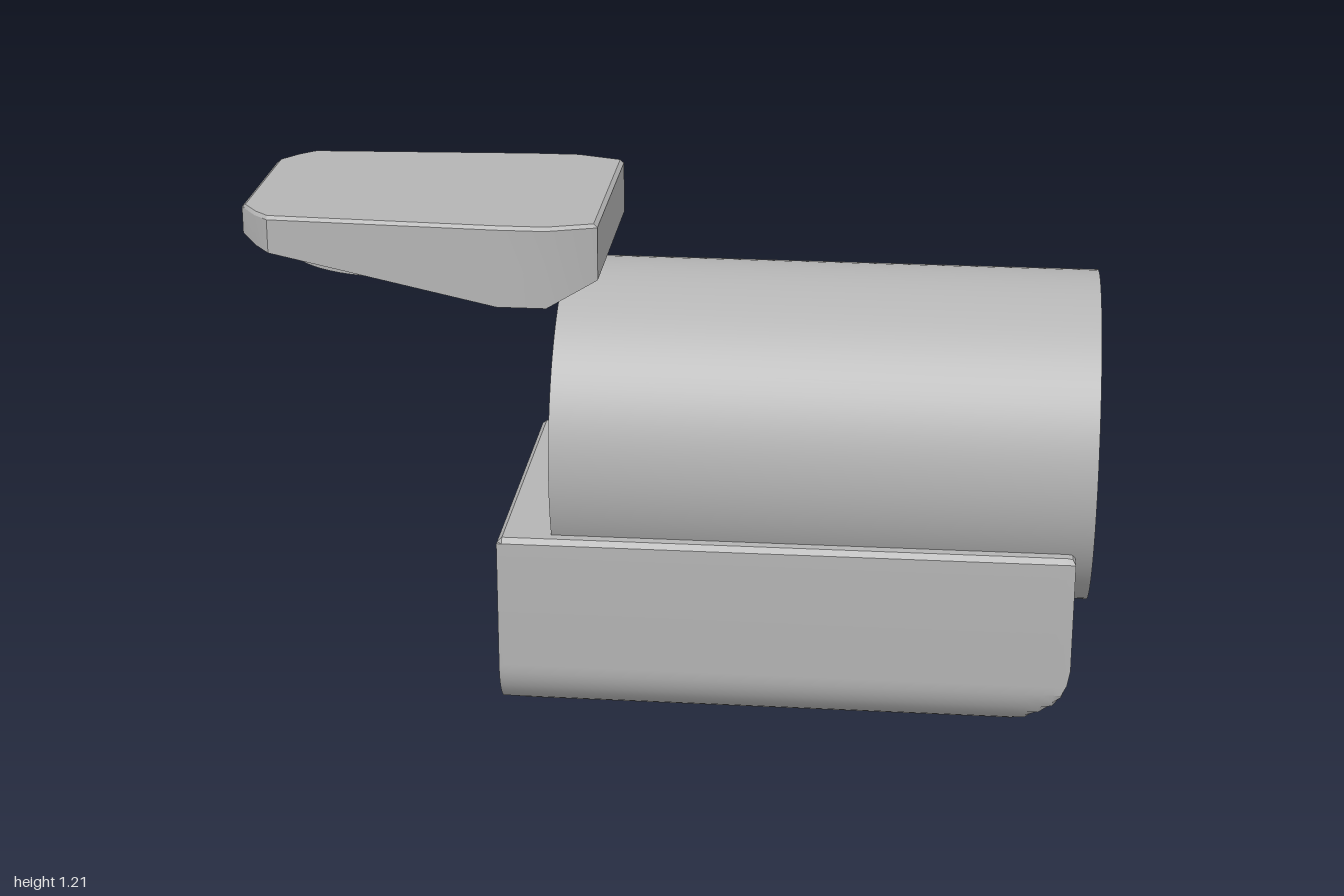
import * as THREE from 'three';
import { toCreasedNormals } from 'three/addons/utils/BufferGeometryUtils.js';

// Skin closed [z, y] rings placed at stations along x, with flat end caps.
function loft(stations) {
  const pos = [], idx = [], n = stations[0].ring.length, last = (stations.length - 1) * n;
  for (const { x, ring } of stations) for (const [z, y] of ring) pos.push(x, y, z);
  for (let s = 0; s < stations.length - 1; s++) {
    for (let j = 0; j < n; j++) {
      const p0 = s * n + j, p1 = s * n + (j + 1) % n;
      idx.push(p0, p0 + n, p1, p0 + n, p1 + n, p1);
    }
  }
  for (let j = 1; j < n - 1; j++) {
    idx.push(0, j, j + 1);
    idx.push(last, last + j + 1, last + j);
  }
  const g = new THREE.BufferGeometry();
  g.setAttribute('position', new THREE.Float32BufferAttribute(pos, 3));
  g.setIndex(idx);
  return toCreasedNormals(g, 0.5);
}

// Complete a half section (bottom to top on the +z side) by mirroring it.
const mirrored = half => [...half, ...half.slice().reverse().map(([z, y]) => [-z, y])];

function roundedRect(hx, hy, r) {
  const s = new THREE.Shape();
  s.absarc(hx - r, hy - r, r, 0, Math.PI / 2);
  s.absarc(-hx + r, hy - r, r, Math.PI / 2, Math.PI);
  s.absarc(-hx + r, -hy + r, r, Math.PI, Math.PI * 1.5);
  s.absarc(hx - r, -hy + r, r, Math.PI * 1.5, Math.PI * 2);
  s.closePath();
  return s;
}

export function createModel() {
  const group = new THREE.Group();
  const grey = new THREE.MeshStandardMaterial({ color: 0xb4b4b4 });
  grey.name = 'plain grey';
  const add = (name, geometry) => {
    const mesh = new THREE.Mesh(geometry, grey);
    mesh.name = name;
    group.add(mesh);
    return mesh;
  };

  // Horizontal drum
  const drum = new THREE.CylinderGeometry(0.395, 0.395, 1.26, 96);
  drum.rotateZ(Math.PI / 2);
  add('drum', drum).position.set(0.37, 0.641, 0);

  // Base block: rounded lower sides, cut by a sloping underside at both ends
  const W = 0.397, R = 0.13, FLOOR = 0.025;
  const section = [];
  for (let i = 0; i <= 10; i++) {
    const a = i / 10 * Math.PI / 2;
    section.push([W - R + R * Math.sin(a), FLOOR + R - R * Math.cos(a)]);
  }
  section.push([W, 0.468], [W - 0.012, 0.48]);
  const baseStations = [ // x, underside, top
    [-0.385, 0.05, 0.468], [-0.373, 0.044, 0.48], [-0.31, FLOOR, 0.48], [0.83, FLOOR, 0.48],
    [0.86, 0.05, 0.48], [0.89, 0.074, 0.48], [0.922, 0.102, 0.48], [0.941, 0.128, 0.48],
    [0.953, 0.16, 0.478], [0.96, 0.2, 0.468]];
  add('base', loft(baseStations.map(([x, lo, hi]) => ({
    x, ring: mirrored(section.map(([z, y]) => [z, Math.min(hi, Math.max(lo, y))])),
  }))));

  // Foot pad under the base
  const pad = new THREE.ExtrudeGeometry(roundedRect(0.45, 0.248, 0.07), {
    depth: 0.02, bevelThickness: 0.02, bevelSize: 0.02, bevelSegments: 4, curveSegments: 10,
  });
  pad.rotateX(Math.PI / 2);
  add('footPad', toCreasedNormals(pad, 0.6)).position.set(0.32, 0.043, 0);

  // Overhanging tray: faceted outline, sloping underside, narrow top chamfer
  const trayStations = [ // x, half width, underside, top
    [-1, 0.185, 1.143, 1.207], [-0.99, 0.2, 1.141, 1.215], [-0.955, 0.25, 1.134, 1.215],
    [-0.92, 0.283, 1.127, 1.215], [-0.385, 0.312, 1.022, 1.215], [-0.27, 0.312, 1.022, 1.215],
    [-0.164, 0.276, 1.077, 1.215], [-0.155, 0.272, 1.082, 1.207]];
  add('tray', loft(trayStations.map(([x, w, lo, hi]) => ({
    x, ring: mirrored([[w, lo], [w, 1.207], [w - 0.008, hi]]),
  }))));

  // Round boss below the tray
  add('trayBoss', new THREE.CylinderGeometry(0.265, 0.265, 0.1, 64)).position.set(-0.662, 1.122, 0);

  return group;
}
